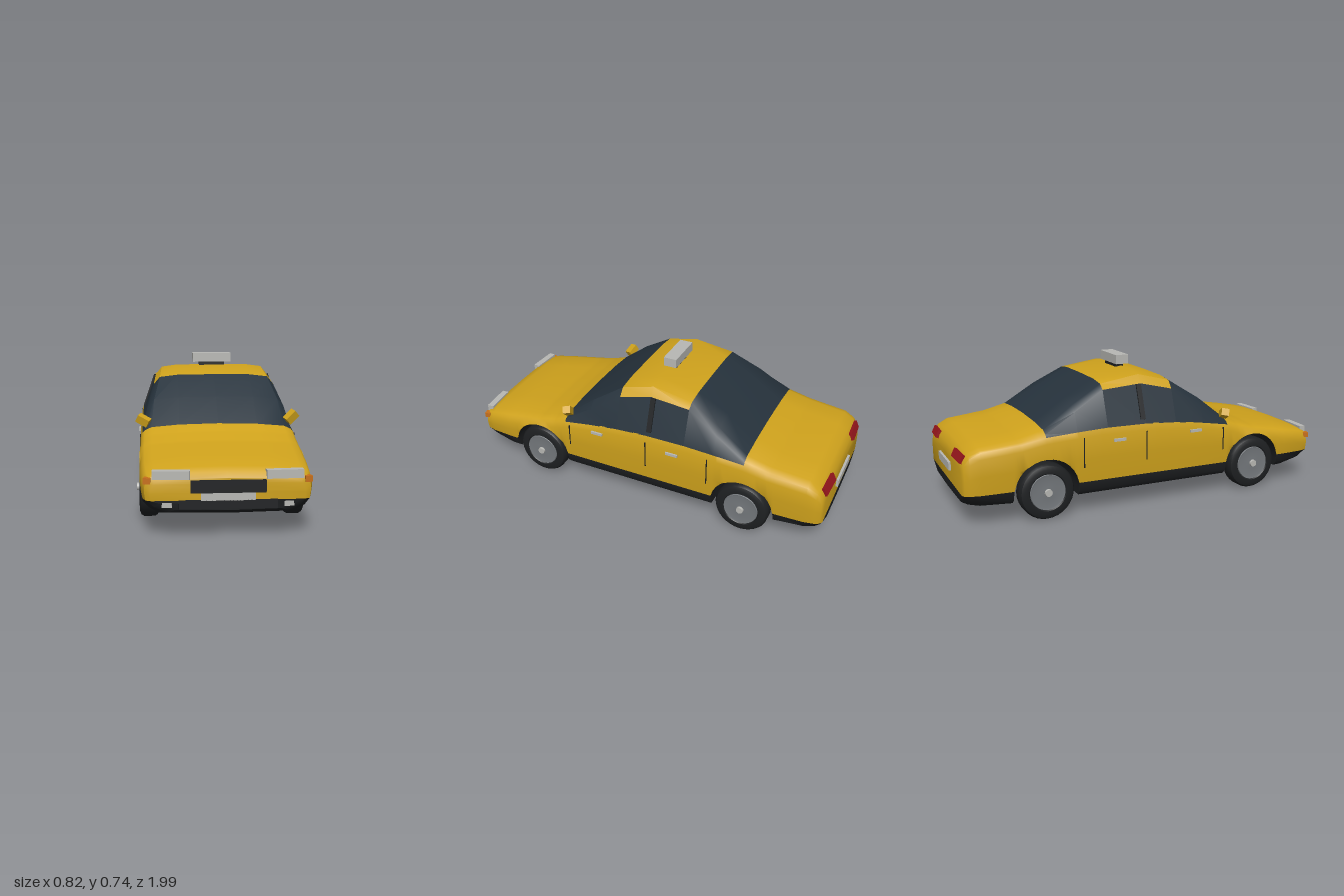
import * as THREE from 'three';
import { toCreasedNormals } from 'three/addons/utils/BufferGeometryUtils.js';

const mat = (color, side = THREE.FrontSide) => new THREE.MeshStandardMaterial({ color, side });
const YELLOW = mat(0xcfa21c, THREE.DoubleSide), BLACK = mat(0x1e2022, THREE.DoubleSide);
const GLASS = mat(0x26323c, THREE.DoubleSide), SILVER = mat(0xb8b8b4), GREY = mat(0x74787c);
const RED = mat(0x98161c), ORANGE = mat(0xc8701a);

// Body stations: z, half width, bottom y, bottom width ratio, shoulder y, centre top y
const STATIONS = [
  [0.98, 0.335, 0.125, 0.75, 0.235, 0.262],
  [0.965, 0.36, 0.11, 0.78, 0.255, 0.285],
  [0.92, 0.373, 0.1, 0.85, 0.267, 0.302],
  [0.8, 0.382, 0.097, 0.95, 0.287, 0.325],
  [0.6, 0.385, 0.097, 0.97, 0.325, 0.357],
  [0.5, 0.385, 0.097, 0.97, 0.347, 0.387],
  [0.43, 0.385, 0.097, 0.97, 0.37, 0.415],
  [0.2, 0.385, 0.097, 0.97, 0.408, 0.418],
  [0, 0.385, 0.097, 0.97, 0.425, 0.43],
  [-0.3, 0.385, 0.097, 0.97, 0.427, 0.432],
  [-0.58, 0.385, 0.097, 0.97, 0.41, 0.455],
  [-0.7, 0.383, 0.097, 0.96, 0.388, 0.422],
  [-0.9, 0.375, 0.1, 0.9, 0.37, 0.398],
  [-0.95, 0.365, 0.105, 0.85, 0.345, 0.375],
  [-0.975, 0.352, 0.112, 0.8, 0.31, 0.34],
  [-0.985, 0.335, 0.125, 0.75, 0.28, 0.305],
];
const AXLES = [0.59, -0.58], WHEEL_Y = 0.14, ARCH = 0.165, SILL = 0.165;

function station(z) {
  let i = 0;
  while (i < STATIONS.length - 2 && STATIONS[i + 1][0] > z) i++;
  const a = STATIONS[i], b = STATIONS[i + 1], t = (z - a[0]) / (b[0] - a[0]);
  return a.map((v, k) => v + (b[k] - v) * t);
}

// Lower limit of the body where a wheel arch cuts through it
function archHeight(z) {
  for (const c of AXLES) {
    const d = Math.abs(z - c);
    if (d <= ARCH + 1e-6) return WHEEL_Y + Math.sqrt(Math.max(0, ARCH * ARCH - d * d));
  }
  return 0;
}

// Half sections from the side to the centre line
function topHalf(z) {
  const [, w, , , e, h] = station(z), d = h - e;
  return [[0.97 * w, e], [0.94 * w, e + 0.3 * d], [0.85 * w, e + 0.65 * d], [0.5 * w, h - 0.1 * d], [0, h]];
}
function paintHalf(z) {
  const [, w, , , e] = station(z), low = archHeight(z);
  const side = [[0.985 * w, SILL], [w, SILL + (e - SILL) * 0.45], [0.995 * w, e - 0.03]];
  return [...side.map(([x, y]) => [x, Math.max(y, low)]), ...topHalf(z)];
}
function floorHalf(z) {
  const [, w, b, k] = station(z), low = archHeight(z);
  const pts = [[0.985 * w, SILL], [w * (0.5 * k + 0.49), b + 0.025], [k * w - 0.02, b], [0, b - 0.005]];
  return pts.map(([x, y]) => [x, Math.max(y, low)]);
}

// Cabin: centre height and shoulder drop; its ends lie on the body surface
const CABIN = { 0.28: [0.53, 0.05], 0.12: [0.632, 0.052], '-0.05': [0.674, 0.055], '-0.26': [0.642, 0.038], '-0.42': [0.557, 0.045] };
function cabinHalf(z) {
  if (!CABIN[z]) return topHalf(z);
  const [, w, , , e] = station(z), [t, drop] = CABIN[z], y = t - drop;
  const x = 0.373 - (y - 0.4) * 0.31;
  return [[0.972 * w, e], [x, y], [x - 0.033, t - 0.013], [0.19, t - 0.002], [0, t]];
}

// Skin over sections running front to back
function loft(sections, crease = 0.7) {
  const pos = [], idx = [], n = sections[0].length;
  sections.forEach(s => s.forEach(p => pos.push(...p)));
  for (let i = 0; i < sections.length - 1; i++)
    for (let j = 0; j < n - 1; j++) {
      const a = i * n + j, b = a + n;
      idx.push(a, b, a + 1, b, b + 1, a + 1);
    }
  const g = new THREE.BufferGeometry();
  g.setAttribute('position', new THREE.Float32BufferAttribute(pos, 3));
  g.setIndex(idx);
  return toCreasedNormals(g, crease);
}
const mirrored = (half, z, s = 1) => [
  ...half.map(([x, y]) => [s * x, y, z]),
  ...half.slice(0, -1).reverse().map(([x, y]) => [-s * x, y, z]),
];

export function createModel() {
  const car = new THREE.Group();
  car.name = 'car';
  const add = (name, geo, material, parent = car) => {
    const m = new THREE.Mesh(geo, material);
    m.name = name;
    parent.add(m);
    return m;
  };
  const box = (name, material, size, p, r = [0, 0, 0]) => {
    const m = add(name, new THREE.BoxGeometry(...size), material);
    m.position.set(...p);
    m.rotation.set(...r);
  };

  // Body shell with arches cut across, closed flat at both ends
  const zs = STATIONS.map(s => s[0]);
  for (const c of AXLES) {
    for (let i = 0; i <= 16; i++) zs.push(c + ARCH * Math.cos(Math.PI * i / 16));
    zs.push(c + ARCH + 0.001, c - ARCH - 0.001);
  }
  zs.sort((a, b) => b - a);
  const shell = (half, s) => {
    const rows = zs.map(z => mirrored(half(z), z, s));
    const cap = row => row.map(([, y, z]) => [0, y, z]);
    return loft([cap(rows[0]), ...rows, cap(rows[rows.length - 1])]);
  };
  add('bodyPanels', shell(paintHalf, 1), YELLOW);
  add('underbody', shell(floorHalf, -1), BLACK);

  // Cabin: windscreen, rear window, roof and side windows
  const cabin = list => list.map(z => mirrored(cabinHalf(z), z));
  const roofZ = [0.12, -0.05, -0.26];
  add('windscreen', loft(cabin([0.43, 0.28, 0.12])), GLASS);
  add('rearWindow', loft(cabin([-0.26, -0.42, -0.58])), GLASS);
  add('roof', loft(cabin(roofZ).map(r => r.slice(1, -1))), YELLOW);
  add('leftWindow', loft(cabin(roofZ).map(r => r.slice(0, 2))), GLASS);
  add('rightWindow', loft(cabin(roofZ).map(r => r.slice(-2))), GLASS);

  // Roof sign
  box('signBase', BLACK, [0.136, 0.03, 0.045], [0, 0.676, -0.06]);
  box('roofSign', SILVER, [0.206, 0.048, 0.07], [0, 0.712, -0.06]);

  // Front and rear fittings on the centre line
  box('grille', BLACK, [0.325, 0.054, 0.035], [0, 0.226, 0.977]);
  box('frontPlate', SILVER, [0.234, 0.034, 0.02], [0, 0.182, 0.98]);
  box('frontBumper', BLACK, [0.425, 0.038, 0.03], [0, 0.148, 0.975]);
  box('rearPlate', SILVER, [0.23, 0.042, 0.02], [0, 0.25, -0.987]);

  // Tyre and rim profiles, turned about the axle
  const lathe = pts => new THREE.LatheGeometry(pts.map(p => new THREE.Vector2(...p)), 32).rotateZ(-Math.PI / 2);
  const tyre = toCreasedNormals(lathe([[0, -0.045], [0.115, -0.045], [0.132, -0.038], [0.14, -0.025],
    [0.14, 0.025], [0.132, 0.038], [0.115, 0.045], [0.095, 0.045], [0.088, 0.036]]), 0.6);
  const rim = toCreasedNormals(lathe([[0.092, 0.036], [0.088, 0.045], [0.08, 0.043], [0.03, 0.046], [0, 0.046]]), 0.5);
  const cap = new THREE.CylinderGeometry(0.018, 0.02, 0.016, 12).rotateZ(-Math.PI / 2);

  for (const s of [1, -1]) {
    const side = s > 0 ? 'left' : 'right';
    // Lamps
    box(side + 'Headlight', SILVER, [0.162, 0.038, 0.035], [s * 0.245, 0.275, 0.965], [0, s * 0.07, 0]);
    box(side + 'Indicator', ORANGE, [0.032, 0.027, 0.03], [s * 0.346, 0.251, 0.962], [0, s * 0.2, 0]);
    box(side + 'FogLamp', SILVER, [0.043, 0.022, 0.03], [s * 0.262, 0.146, 0.967], [0, s * 0.1, 0]);
    box(side + 'TailLight', RED, [0.137, 0.042, 0.024], [s * 0.248, 0.336, -0.972], [0.45, -s * 0.06, 0]);
    // Mirror
    box(side + 'Mirror', YELLOW, [0.062, 0.038, 0.04], s > 0 ? [0.366, 0.442, 0.41] : [-0.368, 0.431, 0.41],
      [0.2, s * 0.35, s > 0 ? 0.7 : -0.42]);
    // Door seams, handles and window post
    for (const [z, top] of [[0.4, 0.36], [-0.05, 0.39], [-0.39, 0.39]])
      box(side + 'DoorSeam', BLACK, [0.006, top - 0.24, 0.005], [s * 0.383, (top + 0.24) / 2, z]);
    for (const z of [0.23, -0.2])
      box(side + 'DoorHandle', SILVER, [0.014, 0.014, 0.065], [s * 0.386, 0.362, z]);
    box(side + 'WindowPost', BLACK, [0.01, 0.18, 0.026], [s * 0.339, 0.532, -0.065], [0, 0, s * 0.33]);
    // Wheels
    AXLES.forEach((z, i) => {
      const wheel = new THREE.Group();
      wheel.name = side + (i ? 'RearWheel' : 'FrontWheel');
      wheel.position.set(s * 0.34, WHEEL_Y, z);
      if (s < 0) wheel.rotation.y = Math.PI;
      add('tyre', tyre, BLACK, wheel);
      add('rim', rim, GREY, wheel).material.side = THREE.DoubleSide;
      add('hubCap', cap, SILVER, wheel).position.x = 0.05;
      car.add(wheel);
    });
  }
  return car;
}
